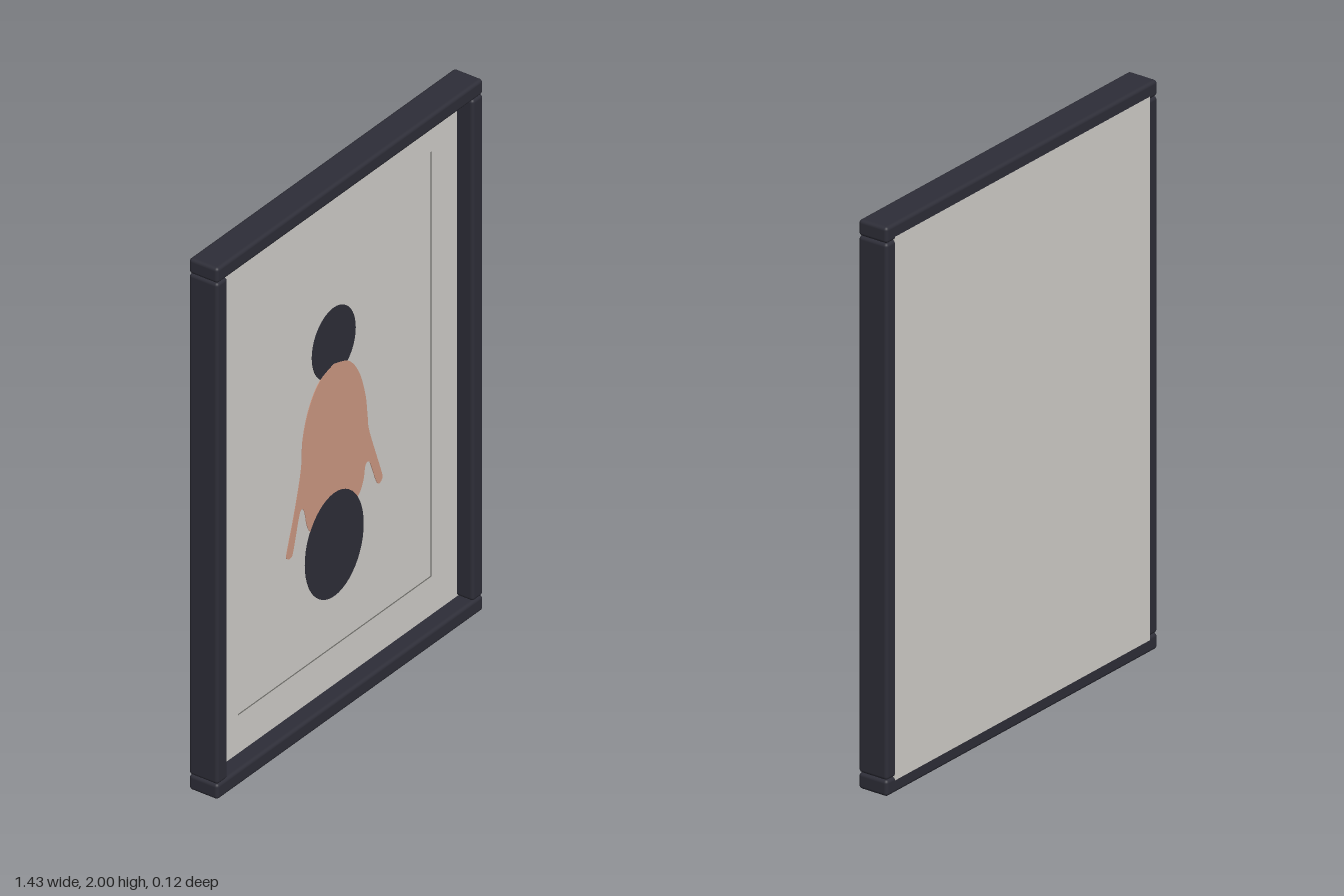
import * as THREE from 'three';
import { RoundedBoxGeometry } from 'three/addons/geometries/RoundedBoxGeometry.js';

const mat = (name, color) => {
  const m = new THREE.MeshStandardMaterial({ color });
  m.name = name;
  return m;
};

export function createModel() {
  const dark = mat('charcoal', 0x2e2e38);
  const paper = mat('warm grey paper', 0xd2d0cb);
  const clay = mat('terracotta', 0xd09a84);
  const edge = mat('mount edge', 0x6a6966);

  const group = new THREE.Group();
  group.name = 'framedPicture';
  const add = (name, geometry, material, x, y, z) => {
    const mesh = new THREE.Mesh(geometry, material);
    mesh.name = name;
    mesh.position.set(x, y, z);
    group.add(mesh);
    return mesh;
  };

  // Frame: two full-width rails with two posts between them
  const bar = 0.057, depth = 0.115, halfW = 0.714;
  for (const [name, y] of [['bottomRail', bar / 2], ['topRail', 2 - bar / 2]]) {
    add(name, new RoundedBoxGeometry(halfW * 2, bar, depth, 3, 0.012), dark, 0, y, 0);
  }
  for (const [name, side] of [['leftPost', 1], ['rightPost', -1]]) {
    add(name, new RoundedBoxGeometry(bar, 2 - 2 * bar, depth, 3, 0.012), dark, side * (halfW - bar / 2), 1, 0);
  }

  // Backing board, just proud of the frame at the back
  const boardFront = -0.01, boardBack = -0.058;
  add('backingBoard', new THREE.BoxGeometry(1.342, 1.91, boardFront - boardBack), paper,
    0, 1, (boardFront + boardBack) / 2);

  // Thin mount with a window, its cut edge darker
  const rect = (path, w, h) => path.moveTo(-w, -h).lineTo(w, -h).lineTo(w, h).lineTo(-w, h).closePath();
  const mount = rect(new THREE.Shape(), 0.665, 0.95);
  mount.holes.push(rect(new THREE.Path(), 0.52, 0.8));
  add('mount', new THREE.ExtrudeGeometry(mount, { depth: 0.005, bevelEnabled: false }), [paper, edge],
    0, 1, boardFront);

  // Painted figure in thin overlapping layers
  const layer = (name, shape, material, y, lift) => add(name,
    new THREE.ExtrudeGeometry(shape, { depth: 0.002, bevelEnabled: false, curveSegments: 24 }),
    material, 0, y, boardFront + lift);
  const oval = (rx, ry) => new THREE.Shape().absellipse(0, 0, rx, ry, 0, Math.PI * 2);

  layer('paintedHead', oval(0.117, 0.132), dark, 1.34, 0);

  const outline = [
    [0, 1.262], [-0.08, 1.232], [-0.135, 1.16], [-0.168, 1.06], [-0.177, 0.95],
    [-0.215, 0.8], [-0.254, 0.675], [-0.25, 0.652], [-0.233, 0.648], [-0.22, 0.665],
    [-0.19, 0.775], [-0.176, 0.8], [-0.16, 0.785], [-0.125, 0.69], [0, 0.64],
    [0.12, 0.695], [0.155, 0.74], [0.168, 0.795], [0.187, 0.8], [0.2, 0.775],
    [0.227, 0.705], [0.243, 0.69], [0.259, 0.705], [0.25, 0.74], [0.19, 0.91],
    [0.18, 0.97], [0.168, 1.06], [0.135, 1.16], [0.08, 1.232], [0, 1.262],
  ].map(([x, y]) => new THREE.Vector2(x, y));
  const body = new THREE.Shape().moveTo(0, 1.262).splineThru(outline.slice(1));
  layer('paintedBody', body, clay, 0, 0.001);

  layer('paintedBase', oval(0.157, 0.194), dark, 0.582, 0.002);

  return group;
}
